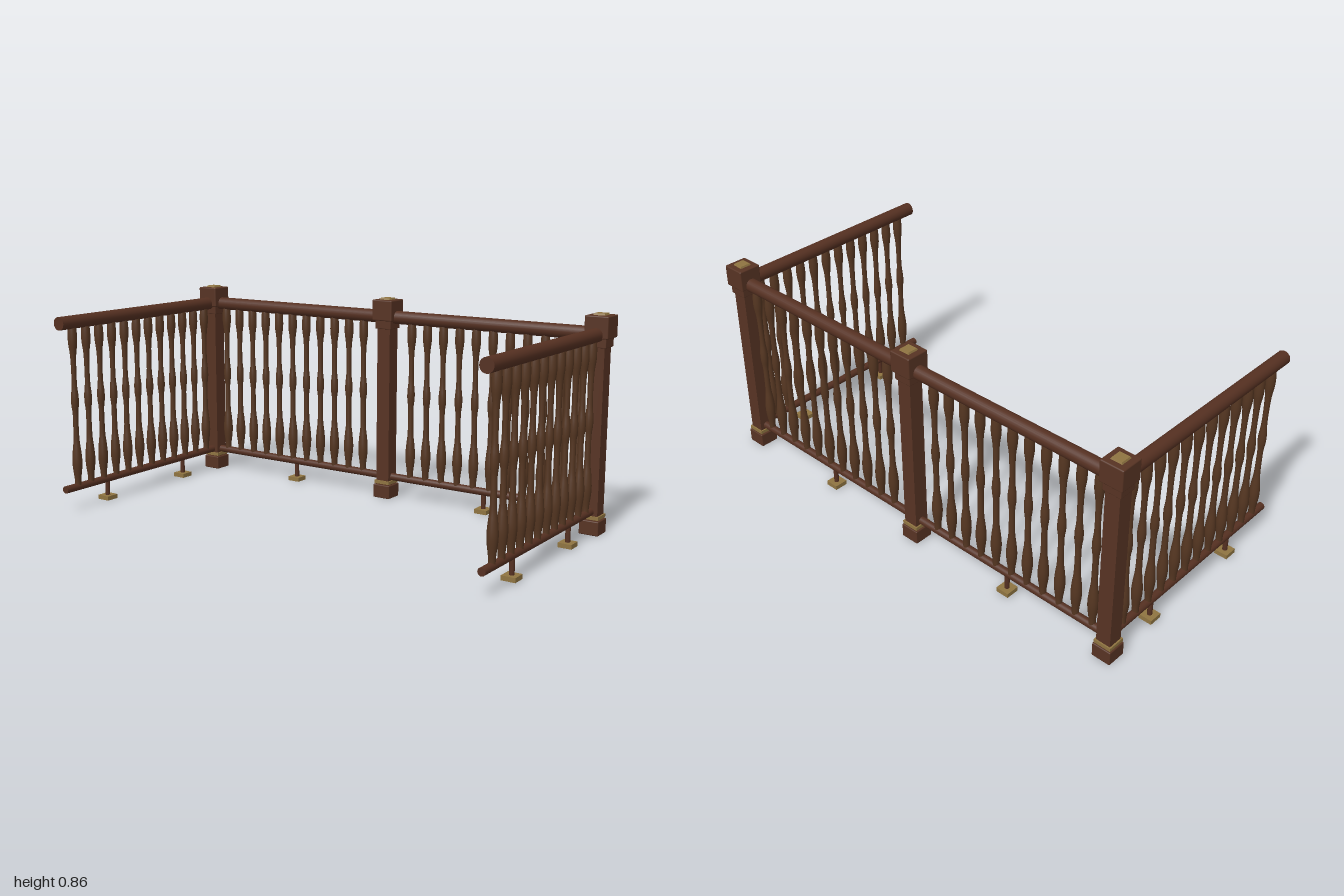
import * as THREE from 'three';
import { RoundedBoxGeometry } from 'three/addons/geometries/RoundedBoxGeometry.js';

const POST_X = 0.952, POST_Z = -0.46;

export function createModel() {
  const model = new THREE.Group();
  model.name = 'balustrade';
  const postWood = new THREE.MeshStandardMaterial({ name: 'post wood', color: 0x573323 });
  const railWood = new THREE.MeshStandardMaterial({ name: 'rail wood', color: 0x553021 });
  const spindleWood = new THREE.MeshStandardMaterial({ name: 'baluster wood', color: 0x553621 });
  const brass = new THREE.MeshStandardMaterial({ name: 'aged brass', color: 0x8f7441 });

  const add = (parent, name, geometry, material, x, y, z) => {
    const mesh = new THREE.Mesh(geometry, material);
    mesh.name = name;
    mesh.position.set(x, y, z);
    parent.add(mesh);
    return mesh;
  };

  // Square block between two heights, with an optional softened edge
  const block = (parent, name, material, width, y0, y1, bevel = 0) => {
    const h = y1 - y0;
    const geometry = bevel
      ? new RoundedBoxGeometry(width, h, width, 2, bevel)
      : new THREE.BoxGeometry(width, h, width);
    return add(parent, name, geometry, material, 0, (y0 + y1) / 2, 0);
  };

  // Posts with base, brass trim, collar and cap
  for (const x of [-POST_X, 0, POST_X]) {
    const post = new THREE.Group();
    post.name = 'post';
    post.position.set(x, 0, POST_Z);
    block(post, 'postBase', postWood, 0.08, 0, 0.058, 0.004);
    block(post, 'baseTrim', brass, 0.073, 0.062, 0.076);
    block(post, 'postShaft', postWood, 0.061, 0.05, 0.74);
    block(post, 'capCollar', postWood, 0.076, 0.733, 0.772, 0.003);
    block(post, 'postCap', postWood, 0.096, 0.768, 0.855, 0.005);
    const plate = new THREE.CylinderGeometry(0.021 * Math.SQRT2, 0.025 * Math.SQRT2, 0.01, 4, 1);
    const finial = add(post, 'capPlate', plate.toNonIndexed(), brass, 0, 0.857, 0);
    finial.geometry.computeVertexNormals();
    finial.rotation.y = Math.PI / 4;
    model.add(post);
  }

  // Turned baluster profile: radius, height
  const profile = new THREE.SplineCurve([
    [0.013, 0.095], [0.0135, 0.125], [0.019, 0.17], [0.0205, 0.205], [0.017, 0.25],
    [0.0125, 0.29], [0.0112, 0.35], [0.0115, 0.405], [0.0155, 0.44], [0.0155, 0.475],
    [0.0115, 0.515], [0.0105, 0.57], [0.0125, 0.645], [0.0185, 0.695],
    [0.0185, 0.735], [0.016, 0.765],
  ].map(([r, y]) => new THREE.Vector2(r, y))).getPoints(45);
  const balusterGeometry = new THREE.LatheGeometry(profile, 14);
  const stemGeometry = new THREE.CylinderGeometry(0.01, 0.01, 0.075, 12);
  const footGeometry = new THREE.BoxGeometry(0.056, 0.018, 0.056);

  // One railing along local +x, from position 0 to length
  const railing = (name, x, z, angle, length, first, last, count, feet) => {
    const group = new THREE.Group();
    group.name = name;
    group.position.set(x, 0, z);
    group.rotation.y = angle;
    for (const [part, radius, y] of [['handrail', 0.0275, 0.782], ['bottomRail', 0.0155, 0.092]]) {
      const geometry = new THREE.CylinderGeometry(radius, radius, length, 24);
      add(group, part, geometry.rotateZ(Math.PI / 2), railWood, length / 2, y, 0);
    }
    for (let i = 0; i < count; i++) {
      const p = first + (last - first) * i / (count - 1);
      add(group, 'baluster', balusterGeometry, spindleWood, p, 0, 0);
    }
    for (const p of feet) {
      add(group, 'supportStem', stemGeometry, railWood, p, 0.0525, 0);
      add(group, 'supportFoot', footGeometry, brass, p, 0.012, 0);
    }
    model.add(group);
  };

  // Two back bays, then the longer and shorter side railings
  railing('backRightRailing', -POST_X, POST_Z, 0, POST_X, 0.074, 0.832, 11, [0.474]);
  railing('backLeftRailing', 0, POST_Z, 0, POST_X, 0.12, 0.878, 11, [0.474]);
  railing('rightSideRailing', -POST_X, POST_Z, -Math.PI / 2, 0.968, 0.076, 0.896, 12, [0.245, 0.727]);
  railing('leftSideRailing', POST_X, POST_Z, -Math.PI / 2, 0.917, 0.076, 0.844, 12, [0.23, 0.692]);

  return model;
}
